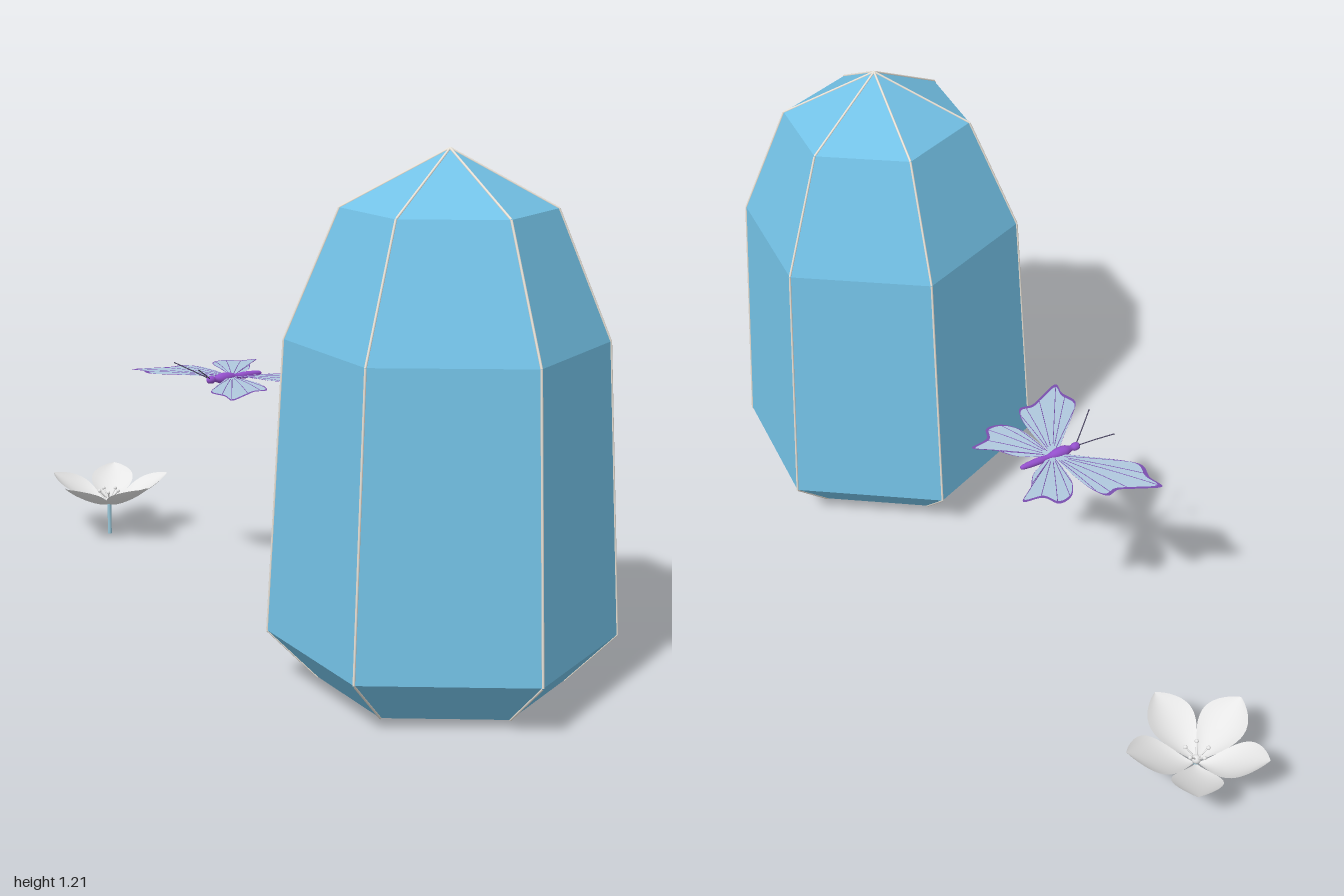
import * as THREE from 'three';
import { ParametricGeometry } from 'three/addons/geometries/ParametricGeometry.js';

const V = (x, y, z) => new THREE.Vector3(x, y, z);
const mat = (name, color, side = THREE.FrontSide) =>
  Object.assign(new THREE.MeshStandardMaterial({ color, side }), { name });

function add(parent, name, geometry, material) {
  const mesh = new THREE.Mesh(geometry, material);
  mesh.name = name;
  parent.add(mesh);
  return mesh;
}

function group(parent, name, x, y, z) {
  const g = new THREE.Group();
  g.name = name;
  g.position.set(x, y, z);
  parent.add(g);
  return g;
}

// Smooth curved sheet from a rule point(u, v)
function sheet(point, nu, nv) {
  const g = new ParametricGeometry((u, v, t) => t.copy(point(u, v)), nu, nv);
  g.computeVertexNormals();
  return g;
}

// Smooth thin tube through points, and a straight rod
const tube = (points, r, n) =>
  new THREE.TubeGeometry(new THREE.CatmullRomCurve3(points), n, r, 16);
const rod = (a, b, r) => new THREE.TubeGeometry(new THREE.LineCurve3(a, b), 1, r, 18);

function buildCrystal(root) {
  const blue = mat('crystalBlue', 0x74c3e8);
  const pale = mat('paleEdge', 0xe6e0d6);
  const g = group(root, 'crystal', 0.604, 0, 0);
  const rings = [[0.278, 0.01], [0.393, 0.12], [0.356, 0.79], [0.236, 1.08], [0, 1.208]];
  const profile = [[0, 0.01], ...rings].map(([r, y]) => new THREE.Vector2(r, y));
  const start = THREE.MathUtils.degToRad(82);
  const body = new THREE.LatheGeometry(profile, 6, start).toNonIndexed();
  body.computeVertexNormals();
  add(g, 'crystalBody', body, blue);
  // Pale seams up the six corners
  for (let i = 0; i < 6; i++) {
    const a = start + i * Math.PI / 3;
    const pts = rings.map(([r, y]) => V(r * Math.sin(a), y, r * Math.cos(a)));
    for (let k = 0; k < 4; k++) add(g, 'crystalSeam', rod(pts[k], pts[k + 1], 0.0028), pale);
  }
}

function buildFlower(root) {
  const white = mat('petalWhite', 0xe6e6e6, THREE.DoubleSide);
  const stemMat = mat('stemBlue', 0x98c6d8);
  const g = group(root, 'flower', -0.857, 0, 0);
  add(g, 'stem', rod(V(0, 0, 0), V(0, 0.1, 0), 0.0055), stemMat);
  add(g, 'receptacle', new THREE.SphereGeometry(0.011, 20, 14), white).position.y = 0.098;

  // Cupped petal rising along +x
  const petal = sheet((u, v) => {
    const s = 2 * u - 1;
    const w = 0.058 * Math.pow(Math.sin(Math.PI * Math.pow(v, 1.25)), 0.85) + 0.003 * (1 - v);
    const r = 0.008 + 0.164 * v;
    return V(r, 0.088 + 0.078 * Math.pow(v, 1.5) + 0.3 * w * s * s, w * s);
  }, 10, 16);
  for (let i = 0; i < 5; i++) {
    const a = i * Math.PI * 2 / 5;
    add(g, 'petal', petal, white).rotation.y = a;
    // Stamens with small heads
    const b = a + 0.6;
    const tip = V(0.028 * Math.cos(b), 0.128, 0.028 * Math.sin(b));
    add(g, 'stamen', rod(V(0, 0.098, 0), tip, 0.002), white);
    add(g, 'stamenHead', new THREE.SphereGeometry(0.005, 18, 12), white).position.copy(tip);
  }
}

function buildButterfly(root) {
  const wingMat = mat('wingBlueGrey', 0xafc8dd, THREE.DoubleSide);
  const purple = mat('bodyPurple', 0x9450cc);
  const border = mat('borderPurple', 0x7a4fae, THREE.DoubleSide);
  const dark = mat('antennaDark', 0x4a4560);
  const g = group(root, 'butterfly', -0.229, 0.566, 0);

  // Outlines as [x, z], starting and ending at the body
  const foreWing = [[0.005, 0], [0.1, 0], [0.165, 0.012], [0.193, 0.03], [0.188, 0.06], [0.206, 0.1],
    [0.23, 0.158], [0.19, 0.15], [0.145, 0.159], [0.1, 0.122], [0.05, 0.067], [0.005, 0.02]];
  const hindWing = [[0.005, -0.02], [0.04, -0.08], [0.08, -0.112], [0.115, -0.155], [0.127, -0.107],
    [0.162, -0.086], [0.157, -0.05], [0.12, -0.022], [0.06, -0.008], [0.005, 0]];

  for (const side of [1, -1]) {
    const half = group(g, side > 0 ? 'leftWings' : 'rightWings', 0, 0, 0);
    half.scale.x = side;
    for (const [name, outline, arch] of [['foreWing', foreWing, 0.004], ['hindWing', hindWing, 0.009]]) {
      const curve = new THREE.CatmullRomCurve3(outline.map(([x, z]) => V(x, 0, z)));
      const point = (u, v) => {
        const p = curve.getPoint(u).multiplyScalar(v);
        p.y = arch * Math.sin(Math.PI * Math.min(1, Math.abs(p.x) / 0.23));
        return p;
      };
      // Wing membrane, with a purple band around its rim
      const rim = 0.955;
      add(half, name, sheet((u, v) => point(u, v * rim), 60, 6), wingMat);
      add(half, name + 'Border', sheet((u, v) => point(u, rim + v * (1 - rim)), 60, 1), border);
      // Veins fanning out from the body
      for (let i = 0; i < 6; i++) {
        const u = 0.2 + 0.115 * i;
        const vein = [0.15, 0.4, 0.7, 0.96].map((v) => point(u, v));
        add(half, name + 'Vein', tube(vein, 0.0008, 8), border);
      }
    }
    add(half, 'antenna', tube([V(0.004, 0.004, 0.07), V(0.025, 0.022, 0.1), V(0.055, 0.045, 0.14)],
      0.0014, 10), dark);
  }

  // Body: slim tail, fuller thorax, round head
  const profile = [[0, -0.09], [0.006, -0.083], [0.009, -0.04], [0.007, -0.012], [0.013, 0.012],
    [0.013, 0.035], [0.007, 0.052], [0.01, 0.062], [0.008, 0.073], [0, 0.078]]
    .map(([r, y]) => new THREE.Vector2(r, y));
  const smooth = new THREE.SplineCurve(profile).getPoints(50);
  smooth.forEach((p) => { p.x = Math.max(0, p.x); });
  add(g, 'body', new THREE.LatheGeometry(smooth, 20), purple).rotation.x = Math.PI / 2;
}

export function createModel() {
  const root = new THREE.Group();
  root.name = 'crystalFlowerAndButterfly';
  buildCrystal(root);
  buildFlower(root);
  buildButterfly(root);
  return root;
}
